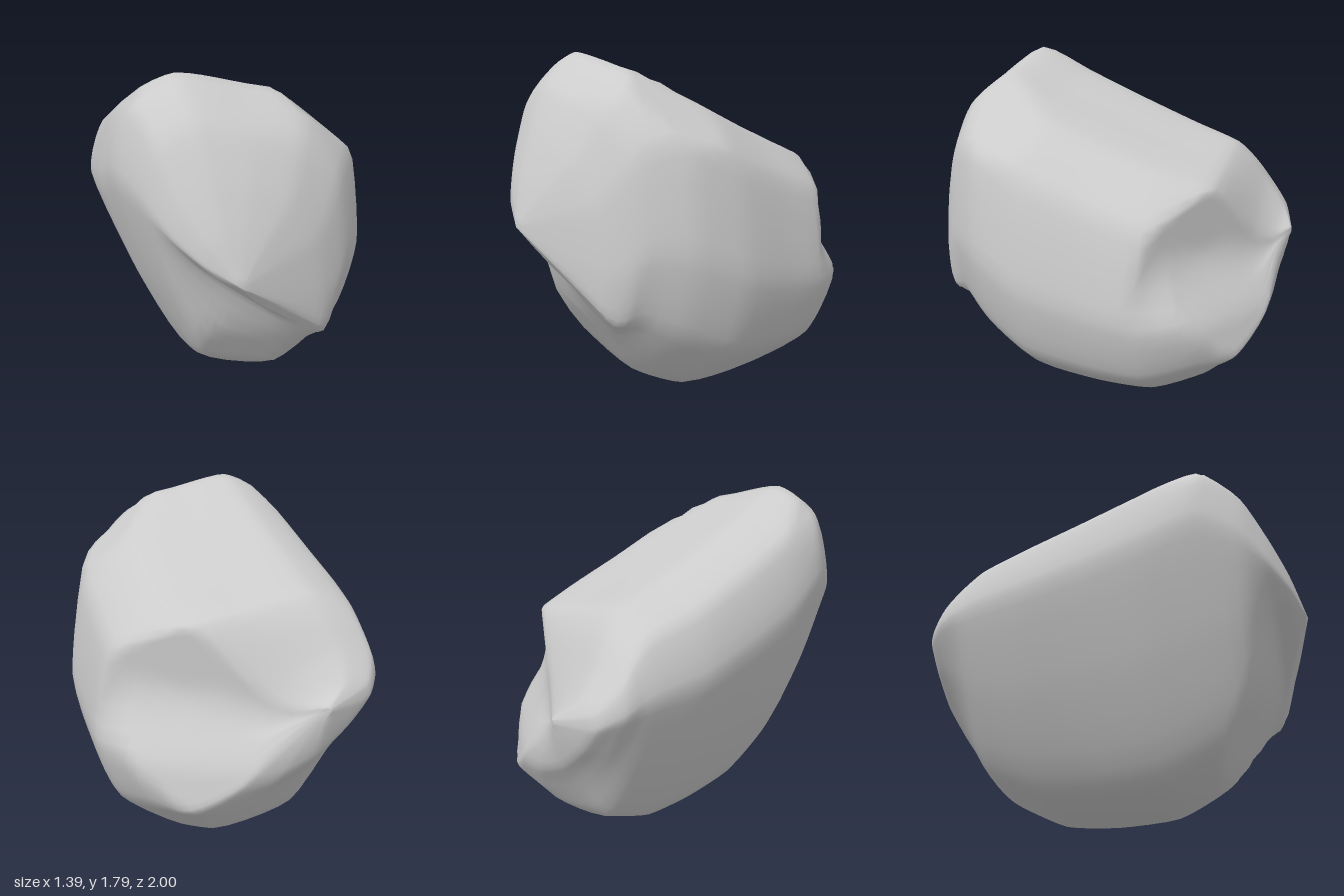
import * as THREE from 'three';
import { mergeVertices } from 'three/addons/utils/BufferGeometryUtils.js';

// Unit cross-sections, clockwise from the upper left, point for point alike
// Body: slanted flat top, leaning sides
const BODY = [
  [-0.87, 0.93], [-0.5, 1], [0, 0.96], [0.5, 0.91], [0.87, 0.75], [1, 0.42],
  [0.83, 0.17], [0.3, 0], [-0.37, 0.07], [-0.74, 0.37], [-1, 0.71],
];
// Front: full above, cut along a diagonal ridge below
const FRONT = [
  [-0.88, 0.9], [-0.5, 1], [0, 0.97], [0.5, 0.85], [0.85, 0.6], [1, 0.25],
  [0.95, 0], [0.4, 0.13], [-0.2, 0.34], [-0.7, 0.53], [-1, 0.7],
];
// Back: fuller below, hollow above a diagonal ridge
const BACK = [
  [-0.95, 0.95], [-0.6, 1], [-0.2, 0.87], [0.2, 0.67], [0.65, 0.47], [1, 0.2],
  [0.9, 0.02], [0.4, 0.04], [-0.2, 0.23], [-0.7, 0.53], [-1, 0.8],
];

// Slices from front to back: z, left edge, right edge, bottom, top
const SLICES = [
  [1, -0.14, -0.14, 0.96, 0.96], [0.93, -0.3, 0.07, 0.77, 1.18],
  [0.84, -0.42, 0.3, 0.58, 1.4], [0.72, -0.52, 0.45, 0.36, 1.63],
  [0.5, -0.63, 0.61, 0.17, 1.8], [0.23, -0.68, 0.69, 0.04, 1.68],
  [-0.1, -0.69, 0.69, 0.01, 1.54], [-0.4, -0.69, 0.68, 0.03, 1.42],
  [-0.65, -0.65, 0.58, 0.14, 1.33], [-0.75, -0.63, 0.47, 0.21, 1.23],
  [-0.84, -0.61, 0.36, 0.32, 1.1], [-0.94, -0.52, 0.12, 0.51, 0.97],
  [-1, -0.3, -0.2, 0.8, 0.88],
];

// Chiselled facets: point, outward normal, height over which the cut fades in
const CUTS = [
  [[-0.14, 0.96, 1], [-0.15, -0.55, 0.82], [-2, -1]],       // undercut below the front ridge
  [[0.4, 1.28, -0.58], [0.5, 0.2, -0.84], [-2, -1]],        // broken rear corner
  [[0.4, 1.28, -0.58], [0.54, -0.06, -0.83], [0.55, 0.95]], // hollow above the rear bulge
  [[0.15, 1.69, 0.5], [0.64, 0.77, 0], [-2, -1]],           // upper right bevel
  [[-0.58, 1.61, 0.4], [-0.77, 0.64, 0], [-2, -1]],         // upper left bevel
].map(([p, n, fade]) => ({
  fade,
  plane: new THREE.Plane().setFromNormalAndCoplanarPoint(
    new THREE.Vector3(...n).normalize(), new THREE.Vector3(...p)),
}));

function rockGeometry(around = 55, along = 48) {
  const { lerp, smoothstep } = THREE.MathUtils;
  const curve = (pts, closed) => new THREE.CatmullRomCurve3(pts, closed, 'catmullrom', 0.3);
  const [body, front, back] = [BODY, FRONT, BACK].map((profile) => {
    const c = curve(profile.map(([u, v]) => new THREE.Vector3(u, v, 0)), true);
    return Array.from({ length: around }, (_, j) => c.getPoint(j / around));
  });
  const widths = curve(SLICES.map(([z, a, b]) => new THREE.Vector3(a, b, z)), false);
  const heights = curve(SLICES.map(([z, , , a, b]) => new THREE.Vector3(a, b, z)), false);
  const positions = [], index = [];
  const p = new THREE.Vector3(), q = new THREE.Vector3();

  for (let i = 0; i <= along; i++) {
    const w = widths.getPoint(i / along), h = heights.getPoint(i / along);
    for (let j = 0; j < around; j++) {
      q.copy(body[j]).lerp(front[j], smoothstep(w.z, 0.66, 0.86));
      q.lerp(back[j], smoothstep(-w.z, 0.65, 0.93));
      p.set(lerp(w.x, w.y, (q.x + 1) / 2), lerp(h.x, h.y, q.y), w.z);
      // Push anything beyond a facet back onto it
      for (const { plane, fade } of CUTS) {
        const d = plane.distanceToPoint(p);
        if (d > 0) p.addScaledVector(plane.normal, -d * smoothstep(p.y, ...fade));
      }
      positions.push(p.x, Math.max(0, p.y), p.z);
      if (i < along) {
        const k = (j + 1) % around, a = i * around, b = a + around;
        index.push(a + j, a + k, b + j, a + k, b + k, b + j);
      }
    }
  }
  // Close the small rear end
  const last = along * around;
  for (let j = 1; j < around - 1; j++) index.push(last, last + j, last + j + 1);

  let geometry = new THREE.BufferGeometry();
  geometry.setAttribute('position', new THREE.Float32BufferAttribute(positions, 3));
  geometry.setIndex(index);
  geometry = mergeVertices(geometry, 1e-4);
  geometry.computeVertexNormals();
  return geometry;
}

export function createModel() {
  const group = new THREE.Group();
  group.name = 'boulder';
  const rock = new THREE.Mesh(rockGeometry(), new THREE.MeshStandardMaterial({ color: 0xcccccc }));
  rock.name = 'rock';
  group.add(rock);
  return group;
}
